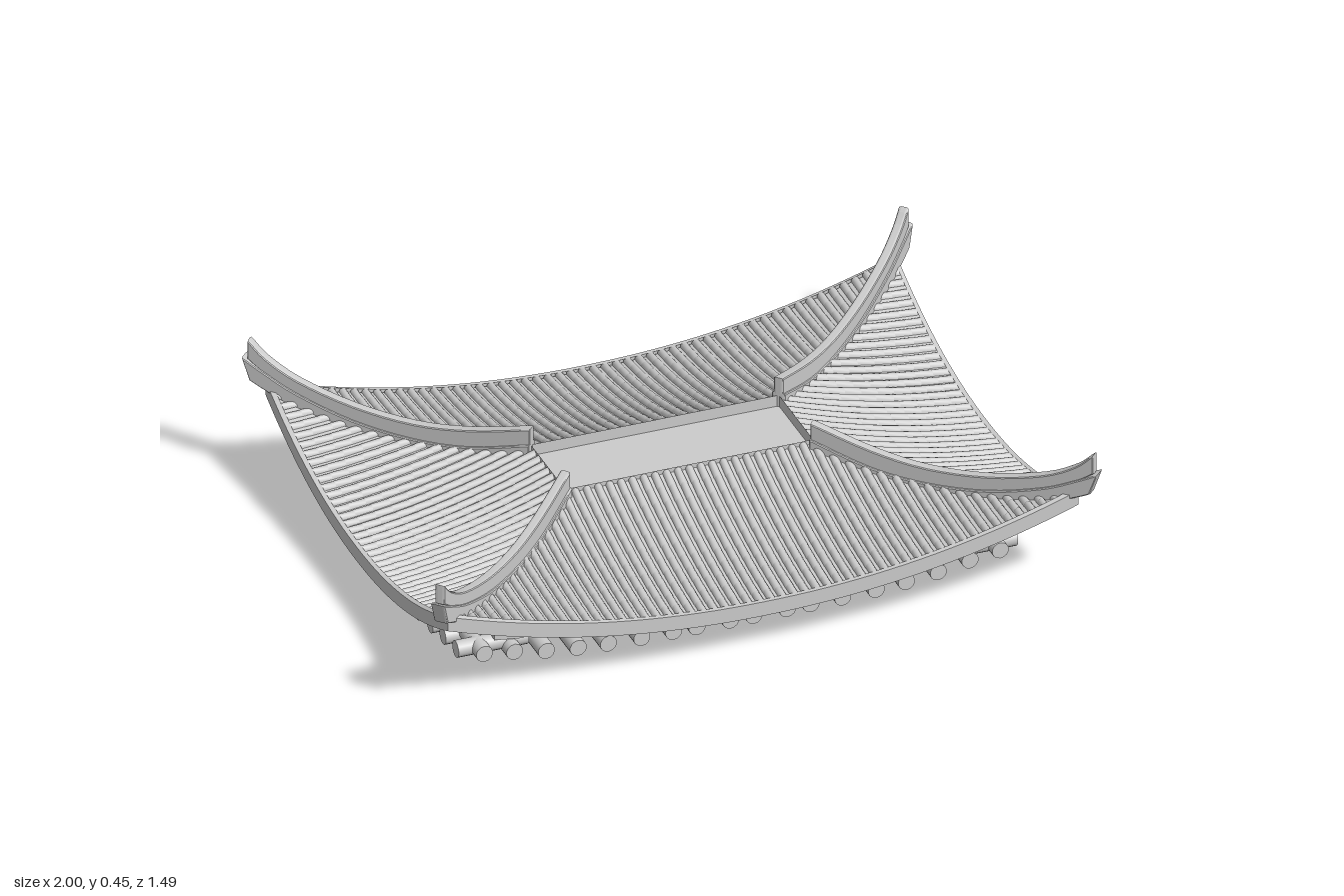
import * as THREE from 'three';
import { ParametricGeometry } from 'three/addons/geometries/ParametricGeometry.js';

const mat = new THREE.MeshStandardMaterial({ color: 0xcccccc, side: THREE.DoubleSide });
const EAVE = { x: 0.935, z: 0.685 }, TOP = { x: 0.37, z: 0.13 }, CEIL = { x: 0.68, z: 0.46, y: 0.126 };
const lerp = THREE.MathUtils.lerp;

function add(parent, name, geometry, x = 0, y = 0, z = 0) {
  const mesh = new THREE.Mesh(geometry, mat);
  mesh.name = name;
  mesh.position.set(x, y, z);
  parent.add(mesh);
  return mesh;
}

// Height of the eave (u = -1..1 along it) and of the concave slope (v = 0 eave, 1 top)
const eaveY = u => 0.167 + 0.155 * Math.pow(Math.abs(u), 2.1);
const slopeY = (u, v) => lerp(eaveY(u) - 0.014, 0.288, v) - (0.08 + 0.15 * u * u) * v * (1 - v);

const surface = (fn, nu, nv) =>
  new ParametricGeometry((s, t, p) => p.set(...fn(s * 2 - 1, t)), nu, nv);

// Rows of half-round, stepped tiles running up one slope
function tileRows(A, O, a1, o1) {
  const pos = [], idx = [], N = 6, R = 0.0125;
  const count = Math.floor((A - 0.012) / 0.034);
  for (let k = -count; k <= count; k++) {
    const a = k * 0.034;
    const vMax = Math.min(1, (A - Math.abs(a)) / (A - a1));
    const steps = Math.max(1, Math.round(vMax * 11));
    const first = pos.length / 3;
    for (let i = 0; i < steps * 2; i++) {
      const v = vMax * Math.ceil(i / 2) / steps;
      const r = i % 2 ? R * 0.94 : R;                 // each tile tapers uphill
      const u = THREE.MathUtils.clamp(a / lerp(A, a1, v), -1, 1);
      for (let j = 0; j <= N; j++) {
        const th = Math.PI * j / N;
        pos.push(a + r * Math.cos(th), slopeY(u, v) + r * 1.15 * Math.sin(th) - 0.001, lerp(O, o1, v));
      }
      if (i) for (let j = 0; j < N; j++) {
        const p = first + (i - 1) * (N + 1) + j, q = p + N + 1;
        idx.push(p, q, p + 1, q, q + 1, p + 1);
      }
    }
  }
  const g = new THREE.BufferGeometry();
  g.setAttribute('position', new THREE.Float32BufferAttribute(pos, 3));
  g.setIndex(idx);
  g.computeVertexNormals();
  return g;
}

// One side of the roof, facing +z
function roofSide(A, O, a1, o1, ca, co) {
  const g = new THREE.Group();
  const rim = 0.006;
  add(g, 'roofSlope', surface((u, v) => [u * lerp(A, a1, v), slopeY(u, v), lerp(O, o1, v)], 40, 12));
  add(g, 'tiles', tileRows(A, O, a1, o1));
  add(g, 'eaveBoard', surface((u, v) => [u * (A + rim), eaveY(u) - 0.045 * v, O + rim], 40, 1));
  add(g, 'eaveBoardTop', surface((u, v) => [u * (A + rim - 0.014 * v), eaveY(u), O + rim - 0.014 * v], 40, 1));
  add(g, 'soffit', surface((u, v) =>
    [u * lerp(A + rim, ca, v), lerp(eaveY(u) - 0.045, CEIL.y, v), lerp(O + rim, co, v)], 40, 6));
  add(g, 'topRim', surface((u, v) => [u * a1, 0.302 - 0.044 * v, o1], 1, 1));
  return g;
}

// Upright plate from an upper and a lower curve, both running outwards
function plate(upper, lower, thickness) {
  const curve = pts => new THREE.SplineCurve(pts.map(p => new THREE.Vector2(...p))).getPoints(24);
  const shape = new THREE.Shape([...curve(lower), ...curve(upper).reverse()]);
  const g = new THREE.ExtrudeGeometry(shape, {
    depth: thickness, bevelEnabled: true, bevelSize: 0.004, bevelThickness: 0.008, bevelSegments: 2 });
  g.translate(0, 0, -thickness / 2);
  return g;
}

// Curved hip ridge: a rounded base with a thinner spine on top
function hipRidge() {
  const g = new THREE.Group();
  const out = pts => pts.map(([x, y]) => [(x - TOP.x) * 1.397, y]);
  const mid = [[0.37, 0.31], [0.5, 0.262], [0.62, 0.25], [0.75, 0.268], [0.87, 0.315], [0.94, 0.36], [0.976, 0.394]];
  const top = [[0.37, 0.355], [0.5, 0.31], [0.62, 0.292], [0.75, 0.307], [0.87, 0.35], [0.94, 0.4], [0.976, 0.446]];
  const low = [[0.37, 0.27], [0.5, 0.235], [0.62, 0.222], [0.75, 0.235], [0.87, 0.272], [0.94, 0.31], [0.97, 0.33]];
  const baseTop = mid.map(([x, y], i) => [x + (i === 6 ? 0.01 : 0), y - 0.003]);
  add(g, 'ridgeSpine', plate(out(top), out(mid), 0.014));
  add(g, 'ridgeBase', plate(out(baseTop), out(low), 0.026));
  return g;
}

// Curved beam made of short blocks that step in and out; half is its half length
function blockBeam(parent, half, inner) {
  const n = 2 * Math.round(half / 0.09) + 1;
  const bottom = a => 0.052 + 0.05 * (a / half) ** 2;
  for (let i = 0; i < n; i++) {
    const a = lerp(-half, half, i / n), b = lerp(-half, half, (i + 1) / n);
    const shape = new THREE.Shape([
      new THREE.Vector2(a, bottom(a)), new THREE.Vector2(b, bottom(b)),
      new THREE.Vector2(b, bottom(b) + 0.068), new THREE.Vector2(a, bottom(a) + 0.068)]);
    const depth = i % 2 ? 0.045 : 0.07;
    add(parent, 'beamBlock', new THREE.ExtrudeGeometry(shape, { depth, bevelEnabled: false }), 0, 0, inner);
  }
}

// Row of round rafter ends below one eave, with its beam, facing +z
function rafterRow(offsets, half, length, beamInner, rafterInner, power) {
  const g = new THREE.Group();
  blockBeam(g, half, beamInner);
  const rod = new THREE.CylinderGeometry(0.025, 0.025, length, 14).rotateX(Math.PI / 2);
  for (const a of offsets) {
    const y = 0.028 + 0.052 * Math.pow(Math.min(1, Math.abs(a / half)), power);
    add(g, 'rafter', rod, a, y, rafterInner + length / 2);
  }
  return g;
}

export function createModel() {
  const model = new THREE.Group();
  model.name = 'hippedRoof';

  // Four slopes
  for (let k = 0; k < 4; k++) {
    const side = k % 2
      ? roofSide(EAVE.z, EAVE.x, TOP.z, TOP.x, CEIL.z, CEIL.x)
      : roofSide(EAVE.x, EAVE.z, TOP.x, TOP.z, CEIL.x, CEIL.z);
    side.name = ['frontSlope', 'leftSlope', 'backSlope', 'rightSlope'][k];
    side.rotation.y = k * Math.PI / 2;
    model.add(side);
  }

  // Sunken flat top
  add(model, 'topPanel', new THREE.BoxGeometry(TOP.x * 2, 0.01, TOP.z * 2), 0, 0.262, 0);

  // Four hip ridges
  for (const sx of [1, -1]) for (const sz of [1, -1]) {
    const ridge = hipRidge();
    ridge.name = 'hipRidge';
    ridge.position.set(sx * TOP.x, 0, sz * TOP.z);
    ridge.rotation.y = -Math.atan2(sz * 0.976, sx);
    model.add(ridge);
  }

  // Ceiling boards running sideways
  const boards = 10, pitch = CEIL.z * 2 / boards;
  add(model, 'ceiling', new THREE.BoxGeometry(CEIL.x * 2, 0.006, CEIL.z * 2), 0, CEIL.y + 0.003, 0);
  for (let i = 0; i < boards; i++) {
    add(model, 'ceilingBoard', new THREE.BoxGeometry(CEIL.x * 2, 0.012, pitch - 0.018),
      0, CEIL.y - 0.002, -CEIL.z + (i + 0.5) * pitch);
  }

  // Rafters and beams, set slightly towards the back
  const half = [0.035, 0.135, 0.205, 0.3, 0.4, 0.49, 0.585, 0.68, 0.77];
  const along = [...half, ...half.map(a => -a)];
  const across = Array.from({ length: 11 }, (_, i) => (i - 5) * 0.097);
  const under = new THREE.Group();
  under.name = 'rafters';
  under.position.z = -0.04;
  for (let k = 0; k < 4; k++) {
    const row = k % 2
      ? rafterRow(across.map(a => a + (k === 1 ? -0.035 : 0.035)), 0.48, 0.21, 0.73, 0.625, 2)
      : rafterRow(along, 0.73, 0.19, 0.48, 0.385, 4);
    row.name = 'rafterRow';
    row.rotation.y = k * Math.PI / 2;
    under.add(row);
  }
  model.add(under);
  return model;
}
